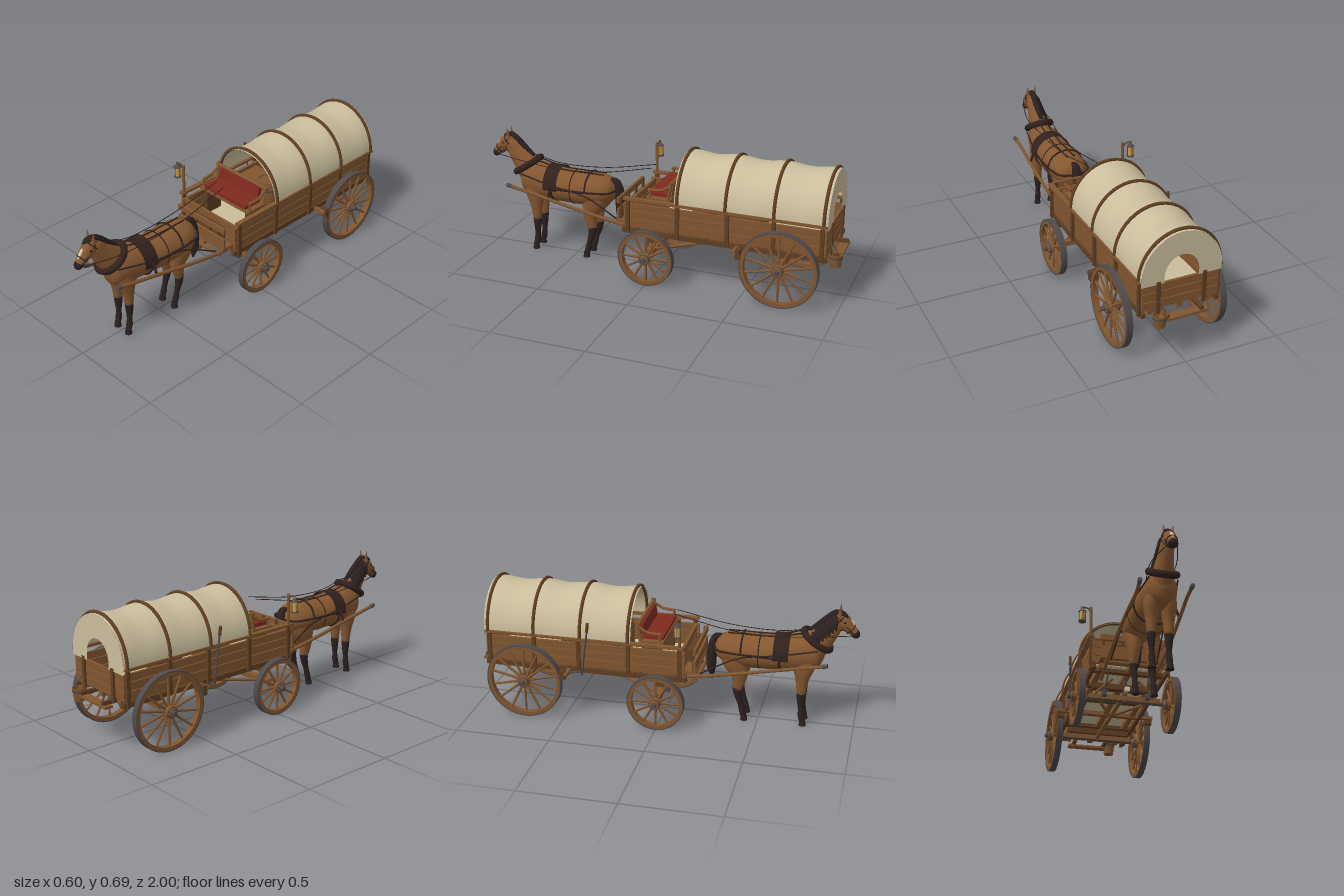
import * as THREE from 'three';
import { toCreasedNormals } from 'three/addons/utils/BufferGeometryUtils.js';

const V = (x, y, z) => new THREE.Vector3(x, y, z);

export function createModel() {
  const root = new THREE.Group();
  root.name = 'coveredWagonWithHorse';
  const paint = (name, color, side = THREE.FrontSide) => {
    const m = new THREE.MeshStandardMaterial({ color, side });
    m.name = name;
    return m;
  };
  const wood = paint('wood', 0x80552f), darkWood = paint('darkWood', 0x5f3e22);
  const canvas = paint('canvas', 0xcabd9c, THREE.DoubleSide), red = paint('redLeather', 0x80291f);
  const iron = paint('iron', 0x4f4a4c), amber = paint('amberGlass', 0xc9993c);
  const coat = paint('horseCoat', 0x855730), dark = paint('darkHair', 0x2b2020);
  const leather = paint('leather', 0x30211d, THREE.DoubleSide), cream = paint('cream', 0xd2c8b4);

  const add = (name, mat, geo, x = 0, y = 0, z = 0, parent = root) => {
    const m = new THREE.Mesh(geo, mat);
    m.name = name;
    m.position.set(x, y, z);
    parent.add(m);
    return m;
  };
  const box = (name, mat, w, h, d, x, y, z, parent) => add(name, mat, new THREE.BoxGeometry(w, h, d), x, y, z, parent);
  const bar = (name, mat, a, b, r, r2 = r, parent = root) => {
    const d = b.clone().sub(a);
    const m = add(name, mat, new THREE.CylinderGeometry(r2, r, d.length(), 10), 0, 0, 0, parent);
    m.position.copy(a).addScaledVector(d, 0.5);
    m.quaternion.setFromUnitVectors(V(0, 1, 0), d.normalize());
    return m;
  };
  const tube = (name, mat, pts, r, closed = false, parent = root) =>
    add(name, mat, new THREE.TubeGeometry(new THREE.CatmullRomCurve3(pts, closed), 40, r, 8, closed), 0, 0, 0, parent);
  // Closed strap: half width rx, other half axis (ny, nz)
  const ring = (name, mat, y, z, rx, ny, nz, r, parent) => tube(name, mat, Array.from({ length: 16 }, (_, i) => {
    const a = i * Math.PI / 8;
    return V(rx * Math.cos(a), y + ny * Math.sin(a), z + nz * Math.sin(a));
  }), r, true, parent);
  // Oval sections [x, y, z, half width, half depth] swept along a smooth path
  const loft = (name, mat, pts, parent, seg = 18) => {
    const path = new THREE.CatmullRomCurve3(pts.map(p => V(p[0], p[1], p[2])), false, 'catmullrom');
    const size = new THREE.CatmullRomCurve3(pts.map(p => V(p[3], p[4], 0)), false, 'catmullrom');
    const n = (pts.length - 1) * 4, pos = [], idx = [];
    for (let i = 0; i <= n; i++) {
      const p = path.getPoint(i / n), s = size.getPoint(i / n), t = path.getTangent(i / n).setX(0).normalize();
      const nn = t.cross(V(1, 0, 0));
      for (let j = 0; j < seg; j++) {
        const a = j * 2 * Math.PI / seg;
        const q = p.clone().addScaledVector(nn, s.y * Math.sin(a));
        pos.push(q.x + s.x * Math.cos(a), q.y, q.z);
        const k = (j + 1) % seg, A = i * seg + j, B = i * seg + k;
        if (i < n) idx.push(A, B, A + seg, B, B + seg, A + seg);
        if (i === 0) idx.push((n + 1) * seg, B, A);
        if (i === n) idx.push((n + 1) * seg + 1, A, B);
      }
    }
    pos.push(...path.getPoint(0).toArray(), ...path.getPoint(1).toArray());
    const g = new THREE.BufferGeometry();
    g.setAttribute('position', new THREE.Float32BufferAttribute(pos, 3));
    g.setIndex(idx);
    g.computeVertexNormals();
    return add(name, mat, g, 0, 0, 0, parent);
  };
  const lathe = (pts, seg = 40) => toCreasedNormals(new THREE.LatheGeometry(pts.map(p => new THREE.Vector2(...p)), seg), 0.6);

  // Wheels
  const rim = (ro, ri, w) => lathe([[ro, -w], [ro, w], [ri, w], [ri, -w], [ro, -w]], 48);
  const wheel = (name, side, r, spokes, z) => {
    const g = new THREE.Group();
    g.name = name;
    add('tyre', iron, rim(r, r - 0.006, 0.0165), 0, 0, 0, g);
    add('felloe', wood, rim(r - 0.005, r - 0.024, 0.0155), 0, 0, 0, g);
    add('hub', wood, lathe([[0, -0.045], [0.02, -0.045], [0.03, -0.02], [0.03, 0.02], [0.022, 0.035], [0, 0.035]], 20), 0, 0, 0, g);
    for (const y of [-0.03, 0.026]) add('hubBand', iron, new THREE.CylinderGeometry(0.029, 0.029, 0.008, 20), 0, y, 0, g);
    add('hubCap', iron, new THREE.CylinderGeometry(0.011, 0.015, 0.018, 12), 0, 0.043, 0, g);
    for (let i = 0; i < spokes; i++) {
      const a = i * 2 * Math.PI / spokes, c = Math.cos(a), s = Math.sin(a);
      bar('spoke', wood, V(c * 0.025, 0, s * 0.025), V(c * (r - 0.018), 0, s * (r - 0.018)), 0.0075, 0.0055, g);
    }
    g.position.set(side * 0.25, r, z);
    g.rotation.z = -side * Math.PI / 2;
    root.add(g);
  };
  for (const s of [-1, 1]) {
    wheel('frontWheel', s, 0.15, 12, 0);
    wheel('rearWheel', s, 0.203, 14, -0.705);
  }

  // Running gear
  for (const [y, z] of [[0.15, 0], [0.203, -0.705]]) {
    bar('axle', iron, V(-0.25, y, z), V(0.25, y, z), 0.011);
    box('axleBeam', wood, 0.38, 0.026, 0.035, 0, y + 0.008, z);
    box('bolster', darkWood, 0.34, 0.03, 0.04, 0, y === 0.15 ? 0.218 : 0.246, z);
  }
  bar('kingPin', iron, V(0, 0.14, 0), V(0, 0.28, 0), 0.012);
  bar('reachPole', wood, V(0, 0.185, 0.03), V(0, 0.215, -0.74), 0.012);
  box('brakeBeam', wood, 0.54, 0.018, 0.022, 0, 0.266, -0.475);
  for (const s of [-1, 1]) {
    bar('reachBrace', wood, V(s * 0.15, 0.16, 0), V(0, 0.205, -0.35), 0.008);
    bar('diagonalBrace', wood, V(s * 0.17, 0.165, 0.01), V(s * 0.07, 0.26, 0.02), 0.008);
    box('brakeBlock', darkWood, 0.04, 0.05, 0.025, s * 0.25, 0.258, -0.495);
    box('step', iron, 0.025, 0.03, 0.03, s * 0.115, 0.17, 0.03);
    bar('stepHanger', iron, V(s * 0.115, 0.17, 0.03), V(s * 0.105, 0.28, 0.1), 0.004);
  }

  // Wagon bed
  box('floor', canvas, 0.38, 0.012, 1.02, 0, 0.293, -0.395);
  for (const x of [-0.15, 0, 0.15]) box('floorJoist', wood, 0.03, 0.025, 1.06, x, 0.275, -0.39);
  for (let i = 0; i < 6; i++) box('floorCrossBeam', darkWood, 0.4, 0.02, 0.03, 0, 0.272, 0.08 - i * 0.19);
  const rows = [[0.312, 0.042], [0.358, 0.042], [0.402, 0.038]];
  const posts = [0.115, -0.155, -0.42, -0.66, -0.905];
  for (const s of [-1, 1]) {
    for (const [y, h] of rows) box('sideBoard', wood, 0.014, h, 1.06, s * 0.193, y, -0.39);
    box('sill', darkWood, 0.018, 0.025, 1.08, s * 0.193, 0.268, -0.39);
    box('topRail', wood, 0.026, 0.014, 1.06, s * 0.207, 0.448, -0.395);
    for (const z of posts) box('sidePost', darkWood, 0.014, 0.185, 0.02, s * 0.206, 0.352, z);
  }
  for (const [y, h] of rows) {
    box('tailBoard', wood, 0.4, h, 0.014, 0, y, -0.918);
    box('frontBoard', wood, 0.38, h, 0.014, 0, y, 0.12);
  }
  for (const x of [-0.12, 0.12]) box('tailPost', darkWood, 0.02, 0.17, 0.012, x, 0.352, -0.93);
  // Dash and footboard
  box('footboard', wood, 0.34, 0.014, 0.08, 0, 0.3, 0.155);
  box('dash', wood, 0.34, 0.06, 0.012, 0, 0.335, 0.185);
  box('dashTop', wood, 0.34, 0.03, 0.014, 0, 0.412, 0.185);
  for (const x of [-0.15, -0.05, 0.05, 0.15]) box('dashStay', darkWood, 0.016, 0.13, 0.01, x, 0.362, 0.176);
  box('namelessToolBox', darkWood, 0.2, 0.06, 0.03, 0, 0.36, 0.145).name = 'toolBox';

  // Driver seat
  box('seatBoard', wood, 0.36, 0.014, 0.13, 0, 0.452, -0.04);
  box('seatCushion', red, 0.3, 0.022, 0.11, 0, 0.468, -0.035);
  box('seatBack', red, 0.285, 0.058, 0.02, 0, 0.507, -0.094).rotation.x = -0.15;
  box('backPanel', wood, 0.33, 0.075, 0.01, 0, 0.507, -0.11).rotation.x = -0.15;
  bar('backRail', wood, V(-0.185, 0.543, -0.107), V(0.185, 0.543, -0.107), 0.009);
  for (const s of [-1, 1]) {
    box('seatSupport', darkWood, 0.02, 0.15, 0.1, s * 0.15, 0.372, -0.04);
    bar('backPost', wood, V(s * 0.17, 0.45, -0.09), V(s * 0.175, 0.555, -0.115), 0.008);
    tube('armRest', wood, [V(s * 0.17, 0.535, -0.11), V(s * 0.172, 0.505, -0.06), V(s * 0.17, 0.497, 0.015)], 0.008);
    bar('armPost', wood, V(s * 0.17, 0.45, 0.005), V(s * 0.17, 0.5, 0.005), 0.007);
  }

  // Canvas cover, sagging between hoops
  const cover = new THREE.PlaneGeometry(1, 1, 40, 48), cp = cover.attributes.position;
  for (let i = 0; i < cp.count; i++) {
    const a = (cp.getX(i) + 0.5) * Math.PI, z = -0.535 + cp.getY(i) * 0.79;
    const k = 1 - 0.055 * Math.sin(a) * Math.sin((z + 0.155) / 0.25 * Math.PI) ** 2;
    cp.setXYZ(i, 0.211 * k * Math.cos(a), 0.453 + 0.22 * k * Math.sin(a), z);
  }
  cover.computeVertexNormals();
  add('canvasCover', canvas, cover);
  const rear = new THREE.Shape();
  rear.absellipse(0, 0, 0.209, 0.218, 0, Math.PI);
  rear.lineTo(-0.209, -0.03);
  rear.lineTo(-0.09, -0.03);
  rear.lineTo(-0.09, 0);
  rear.absellipse(0, 0, 0.09, 0.1, Math.PI, 0, true);
  rear.lineTo(0.09, -0.03);
  rear.lineTo(0.209, -0.03);
  add('rearCurtain', canvas, new THREE.ShapeGeometry(rear, 32), 0, 0.453, -0.93);
  for (const z of [-0.155, -0.41, -0.66, -0.91]) {
    const arc = Array.from({ length: 17 }, (_, i) => {
      const a = i * Math.PI / 16;
      return V(0.213 * Math.cos(a), 0.45 + 0.227 * Math.sin(a), z);
    });
    tube('coverHoop', darkWood, arc, 0.009);
  }

  // Cargo
  const barrel = [[0, 0], [0.05, 0], [0.062, 0.05], [0.065, 0.09], [0.062, 0.13], [0.05, 0.185], [0.046, 0.185], [0.046, 0.178], [0, 0.178]];
  add('barrel', wood, lathe(barrel, 24), 0.05, 0.3, -0.25);
  for (const y of [0.345, 0.44]) add('barrelHoop', iron, new THREE.CylinderGeometry(0.0645, 0.0645, 0.01, 24), 0.05, y, -0.25);
  box('crate', wood, 0.13, 0.12, 0.14, -0.1, 0.36, -0.32);
  box('crate', darkWood, 0.16, 0.13, 0.16, 0.08, 0.365, -0.5);

  // Rear shelf and bucket
  box('rearShelf', wood, 0.24, 0.012, 0.045, 0, 0.248, -0.957);
  for (const x of [-0.09, 0.09]) box('shelfBracket', darkWood, 0.018, 0.02, 0.1, x, 0.262, -0.925);
  add('bucket', wood, lathe([[0, 0], [0.027, 0], [0.036, 0.065], [0.032, 0.065], [0.026, 0.01], [0, 0.01]], 20), 0.125, 0.215, -0.96);
  add('bucketBand', iron, new THREE.CylinderGeometry(0.036, 0.035, 0.008, 20, 1, true), 0.125, 0.265, -0.96);
  tube('bucketHandle', iron, [V(0.09, 0.275, -0.96), V(0.125, 0.335, -0.935), V(0.16, 0.275, -0.96)], 0.0025);

  // Brake lever
  bar('brakeLever', iron, V(-0.222, 0.25, -0.4), V(-0.226, 0.54, -0.36), 0.005);
  bar('leverGrip', darkWood, V(-0.226, 0.5, -0.366), V(-0.227, 0.548, -0.36), 0.008);
  bar('brakeRod', iron, V(-0.222, 0.266, -0.4), V(-0.222, 0.266, -0.475), 0.004);

  // Lantern on its post
  bar('lanternPost', wood, V(-0.207, 0.44, 0.115), V(-0.207, 0.615, 0.115), 0.008);
  tube('lanternArm', darkWood, [V(-0.207, 0.575, 0.115), V(-0.22, 0.605, 0.115), V(-0.253, 0.612, 0.115)], 0.004);
  add('lanternRing', iron, new THREE.TorusGeometry(0.008, 0.002, 6, 16), -0.253, 0.605, 0.115);
  add('lanternRoof', iron, new THREE.CylinderGeometry(0.006, 0.022, 0.015, 12), -0.253, 0.592, 0.115);
  add('lanternGlass', amber, new THREE.CylinderGeometry(0.014, 0.014, 0.055, 14), -0.253, 0.558, 0.115);
  add('lanternBase', iron, new THREE.CylinderGeometry(0.019, 0.021, 0.008, 12), -0.253, 0.53, 0.115);
  for (let i = 0; i < 4; i++) {
    const x = -0.253 + 0.017 * Math.cos(i * Math.PI / 2), z = 0.115 + 0.017 * Math.sin(i * Math.PI / 2);
    bar('lanternRib', iron, V(x, 0.53, z), V(x, 0.588, z), 0.0018);
  }

  // Shafts and draught gear
  bar('shaftCrossbar', wood, V(-0.15, 0.268, 0.2), V(0.15, 0.268, 0.2), 0.01);
  box('hitchBlock', cream, 0.024, 0.022, 0.02, 0, 0.19, 0.06);
  for (const s of [-1, 1]) {
    tube('shaft', wood, [[0.13, 0.25, 0.02], [0.137, 0.27, 0.2], [0.138, 0.305, 0.4], [0.13, 0.345, 0.62], [0.122, 0.372, 0.78], [0.126, 0.388, 0.85]].map(p => V(s * p[0], p[1], p[2])), 0.0095);
    bar('shaftTip', iron, V(s * 0.124, 0.383, 0.83), V(s * 0.127, 0.39, 0.857), 0.011);
  }

  // Horse
  const horse = new THREE.Group();
  horse.name = 'horse';
  root.add(horse);
  loft('body', coat, [[0, 0.4, 0.262, 0.015, 0.02], [0, 0.397, 0.29, 0.072, 0.062], [0, 0.39, 0.36, 0.099, 0.087], [0, 0.386, 0.46, 0.1, 0.092], [0, 0.386, 0.56, 0.1, 0.09], [0, 0.395, 0.66, 0.09, 0.098], [0, 0.4, 0.74, 0.081, 0.1], [0, 0.4, 0.8, 0.062, 0.078], [0, 0.4, 0.828, 0.015, 0.02]], horse, 28);
  loft('neck', coat, [[0, 0.41, 0.745, 0.07, 0.085], [0, 0.48, 0.8, 0.05, 0.07], [0, 0.54, 0.85, 0.037, 0.053], [0, 0.59, 0.883, 0.031, 0.038], [0, 0.618, 0.893, 0.012, 0.014]], horse, 22);
  loft('head', coat, [[0, 0.622, 0.872, 0.014, 0.016], [0, 0.594, 0.904, 0.034, 0.04], [0, 0.566, 0.935, 0.031, 0.034], [0, 0.543, 0.96, 0.024, 0.026], [0, 0.53, 0.974, 0.022, 0.023]], horse);
  loft('muzzle', dark, [[0, 0.534, 0.969, 0.0225, 0.0235], [0, 0.52, 0.98, 0.023, 0.022], [0, 0.507, 0.988, 0.012, 0.012]], horse);
  loft('blaze', cream, [[0, 0.62, 0.924, 0.004, 0.003], [0, 0.59, 0.955, 0.009, 0.006], [0, 0.558, 0.976, 0.007, 0.005]], horse, 10);
  loft('forelock', dark, [[0, 0.635, 0.88, 0.018, 0.014], [-0.006, 0.63, 0.915, 0.02, 0.01], [-0.01, 0.6, 0.942, 0.004, 0.004]], horse, 10);
  loft('tail', dark, [[0, 0.45, 0.3, 0.015, 0.012], [0, 0.44, 0.262, 0.022, 0.018], [0, 0.36, 0.245, 0.03, 0.027], [0, 0.27, 0.243, 0.027, 0.024], [0, 0.205, 0.25, 0.005, 0.005]], horse);
  loft('maneCrest', dark, [[0, 0.64, 0.88, 0.012, 0.012], [0, 0.618, 0.85, 0.016, 0.014], [0, 0.577, 0.806, 0.016, 0.014], [0, 0.528, 0.75, 0.01, 0.01]], horse);
  for (let i = 0; i < 7; i++) {
    const y = 0.625 - i * 0.015, z = 0.862 - i * 0.016, w = i * 0.002;
    loft('maneLock', dark, [[-0.005, y, z, 0.01, 0.016], [-0.036 - w, y - 0.03, z + 0.012, 0.008, 0.016], [-0.045 - w, y - 0.075, z + 0.02, 0.003, 0.004]], horse, 8);
  }
  for (const s of [-1, 1]) {
    const x = s * 0.042, h = s * 0.046;
    const ear = add('ear', coat, new THREE.ConeGeometry(0.012, 0.06, 10), s * 0.021, 0.648, 0.895, horse);
    ear.rotation.z = -s * 0.12;
    add('eye', dark, new THREE.SphereGeometry(0.007, 10, 8), s * 0.03, 0.592, 0.922, horse);
    loft('frontLeg', coat, [[x, 0.4, 0.735, 0.03, 0.06], [x, 0.33, 0.73, 0.038, 0.055], [x, 0.26, 0.725, 0.029, 0.034], [x, 0.175, 0.724, 0.02, 0.022]], horse);
    loft('frontStocking', dark, [[x, 0.185, 0.724, 0.0215, 0.0235], [x, 0.15, 0.724, 0.019, 0.021], [x, 0.095, 0.726, 0.013, 0.015], [x, 0.05, 0.73, 0.016, 0.017], [x, 0.02, 0.738, 0.013, 0.014]], horse);
    loft('hindLeg', coat, [[h, 0.42, 0.36, 0.035, 0.06], [h, 0.34, 0.375, 0.046, 0.068], [h, 0.26, 0.4, 0.032, 0.044], [h, 0.17, 0.39, 0.02, 0.023]], horse);
    loft('hindStocking', dark, [[h, 0.185, 0.39, 0.0215, 0.026], [h, 0.15, 0.393, 0.019, 0.021], [h, 0.09, 0.41, 0.013, 0.015], [h, 0.05, 0.42, 0.016, 0.017], [h, 0.02, 0.428, 0.013, 0.014]], horse);
    add('frontHoof', dark, new THREE.CylinderGeometry(0.014, 0.019, 0.03, 14), x, 0.015, 0.738, horse);
    add('hindHoof', dark, new THREE.CylinderGeometry(0.014, 0.019, 0.03, 14), h, 0.015, 0.43, horse);

    // Reins, traces and breeching
    tube('rein', leather, [V(s * 0.024, 0.522, 0.965), V(s * 0.062, 0.515, 0.8), V(s * 0.045, 0.489, 0.61), V(s * 0.04, 0.5, 0.35), V(s * 0.03, 0.56, 0.05)], 0.0022);
    tube('trace', leather, [V(s * 0.07, 0.44, 0.8), V(s * 0.1, 0.41, 0.61), V(s * 0.106, 0.375, 0.4), V(s * 0.12, 0.275, 0.2)], 0.004);
    tube('breeching', leather, [V(0, 0.4, 0.257), V(s * 0.078, 0.4, 0.285), V(s * 0.104, 0.4, 0.36), V(s * 0.104, 0.395, 0.48), V(s * 0.1, 0.39, 0.6)], 0.006);
    bar('shaftLoop', leather, V(s * 0.102, 0.41, 0.61), V(s * 0.132, 0.335, 0.61), 0.007);
    tube('spineStrap', leather, [V(s * 0.02, 0.479, 0.33), V(s * 0.02, 0.478, 0.46), V(s * 0.02, 0.482, 0.58), V(s * 0.02, 0.512, 0.72)], 0.004);
    bar('cheekStrap', leather, V(s * 0.032, 0.615, 0.892), V(s * 0.026, 0.535, 0.965), 0.003);
  }
  ring('collar', leather, 0.475, 0.787, 0.066, 0.045, -0.068, 0.018, horse);
  ring('noseBand', leather, 0.549, 0.954, 0.0265, 0.022, 0.019, 0.003, horse);
  ring('browBand', leather, 0.6, 0.897, 0.034, 0.029, 0.025, 0.003, horse);
  ring('girth', leather, 0.39, 0.61, 0.098, 0.096, 0, 0.006, horse);
  ring('bellyBand', leather, 0.387, 0.5, 0.1, 0.092, 0, 0.003, horse);
  tube('hipStrap', leather, [V(-0.104, 0.4, 0.41), V(-0.075, 0.455, 0.41), V(0, 0.481, 0.41), V(0.075, 0.455, 0.41), V(0.104, 0.4, 0.41)], 0.005, false, horse);
  const pad = new THREE.CylinderGeometry(1, 1, 0.08, 28, 1, true, 0.46 * Math.PI, 1.08 * Math.PI).rotateX(Math.PI / 2);
  add('saddlePad', leather, pad, 0, 0.391, 0.615, horse).scale.set(0.104, 0.102, 1);
  return root;
}
